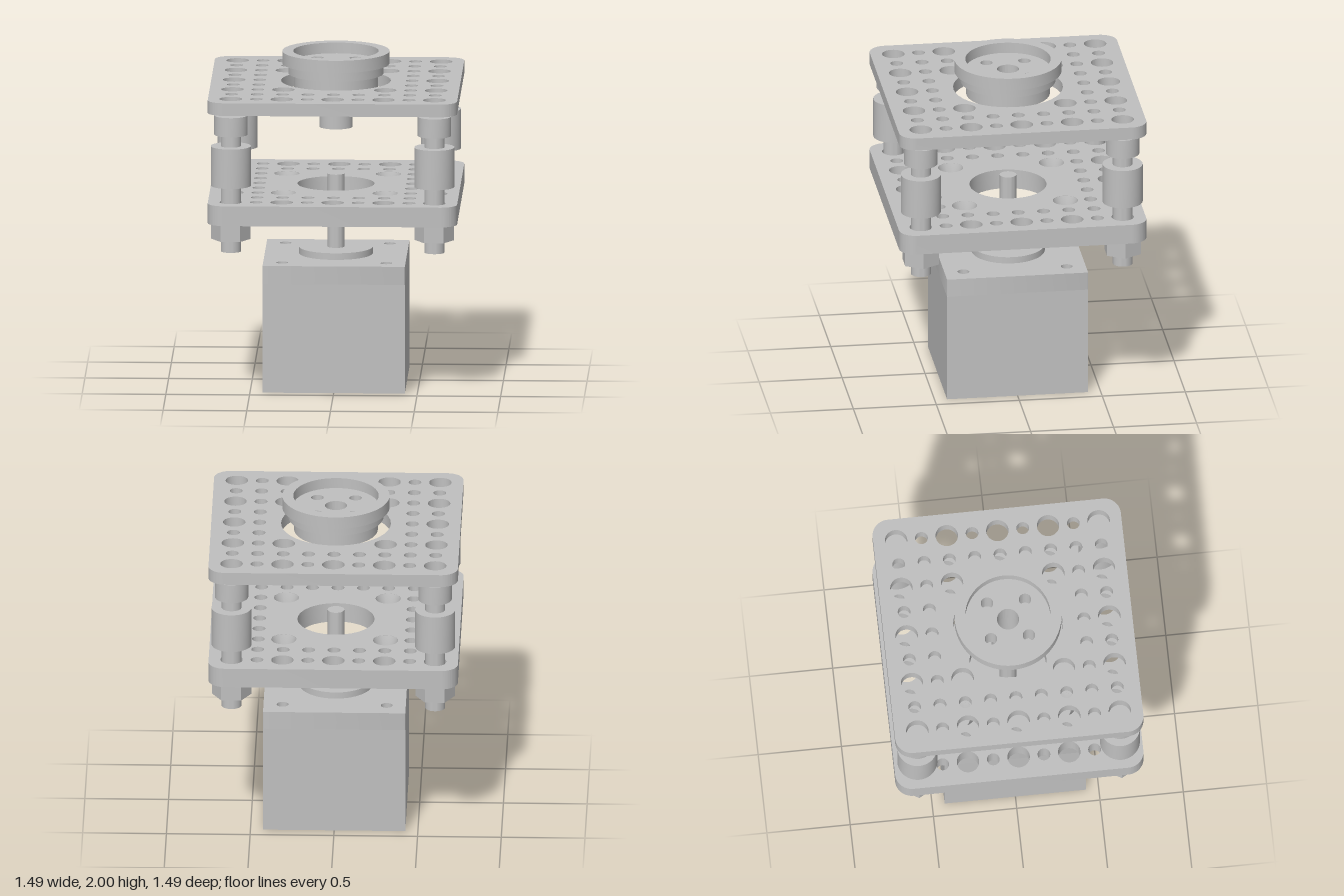
import * as THREE from 'three';
import { toCreasedNormals } from 'three/addons/utils/BufferGeometryUtils.js';

const PITCH = 0.152;
const PLATE = 0.745;
const POST = 4 * PITCH;
const SCREW = 0.311;
const corners = (d) => [[-d, -d], [d, -d], [d, d], [-d, d]];

const steel = new THREE.MeshStandardMaterial({ color: 0xc0c0c0 });
steel.name = 'steel grey';

function mesh(name, geometry, smooth = true) {
  const m = new THREE.Mesh(smooth ? toCreasedNormals(geometry, 0.6) : geometry, steel);
  m.name = name;
  return m;
}

// Upright cylinder between two heights
function rod(name, r, y0, y1, sides = 40) {
  const g = new THREE.CylinderGeometry(r, r, y1 - y0, sides);
  g.translate(0, (y0 + y1) / 2, 0);
  return mesh(name, g);
}

// Closed ring turned from a profile: outside listed upwards, inside downwards
function turned(name, profile, sides = 64) {
  const pts = profile.map(([x, y]) => new THREE.Vector2(x, y));
  pts.push(pts[0].clone());
  return mesh(name, new THREE.LatheGeometry(pts, sides));
}

// Rounded square slab with round holes [x, z, radius]
function slab(name, half, radius, y0, y1, holes) {
  const s = new THREE.Shape();
  const k = half - radius;
  s.absarc(k, k, radius, 0, Math.PI / 2);
  s.absarc(-k, k, radius, Math.PI / 2, Math.PI);
  s.absarc(-k, -k, radius, Math.PI, Math.PI * 1.5);
  s.absarc(k, -k, radius, Math.PI * 1.5, Math.PI * 2);
  s.closePath();
  for (const [x, z, r] of holes) {
    const h = new THREE.Path();
    h.absarc(x, -z, r, 0, Math.PI * 2, true);
    s.holes.push(h);
  }
  const g = new THREE.ExtrudeGeometry(s, { depth: y1 - y0, bevelEnabled: false, curveSegments: 20 });
  g.rotateX(-Math.PI / 2);
  g.translate(0, y0, 0);
  return mesh(name, g);
}

// Perforation grid: big holes where both indices are even, small ones elsewhere
function perforations(centreRadius, innerRadius) {
  const holes = [[0, 0, centreRadius]];
  for (let i = -4; i <= 4; i++) {
    for (let j = -4; j <= 4; j++) {
      if (Math.max(Math.abs(i), Math.abs(j)) < 3) continue;
      const big = i % 2 === 0 && j % 2 === 0;
      holes.push([i * PITCH, j * PITCH, big ? 0.067 : 0.038]);
    }
  }
  for (const [x, z] of corners(2 * PITCH)) holes.push([x, z, innerRadius]);
  return holes;
}

// Corner bolt with its head, spacer sleeve and hex nut
function cornerPost(x, z) {
  const g = new THREE.Group();
  g.name = 'cornerPost';
  const nut = new THREE.CylinderGeometry(0.118, 0.118, 0.1, 6);
  nut.rotateY(Math.PI / 6);
  nut.translate(0, 1.02, 0);
  g.add(
    rod('boltShank', 0.06, 0.895, 1.65),
    rod('boltHead', 0.1, 1.605, 1.722),
    rod('spacer', 0.12, 1.295, 1.535),
    mesh('hexNut', nut),
  );
  g.position.set(x, 0, z);
  return g;
}

export function createModel() {
  const model = new THREE.Group();
  model.name = 'motorMount';

  // Motor: solid body with screw holes in its top, round boss and shaft
  const body = new THREE.BoxGeometry(0.85, 0.66, 0.85);
  body.translate(0, 0.33, 0);
  model.add(
    mesh('motorBody', body, false),
    slab('motorTop', 0.425, 0.004, 0.66, 0.77, corners(SCREW).map(([x, z]) => [x, z, 0.035])),
    rod('motorBoss', 0.22, 0.765, 0.81, 64),
    rod('motorShaft', 0.05, 0.8, 1.255),
  );

  // Perforated plates
  model.add(
    slab('lowerPlate', PLATE, 0.1, 1.073, 1.193, perforations(0.23, 0.075)),
    slab('upperPlate', PLATE, 0.1, 1.743, 1.82, perforations(0.328, 0.067)),
  );

  // Countersunk seats for the motor screws in the lower plate
  for (const [x, z] of corners(2 * PITCH)) {
    const seat = turned('countersink', [[0.04, 1.073], [0.075, 1.073], [0.075, 1.192], [0.04, 1.085]], 32);
    seat.position.set(x, 0, z);
    model.add(seat);
  }

  for (const [x, z] of corners(POST)) model.add(cornerPost(x, z));

  // Hub: stepped flange, drilled web and hollow stem
  const hub = new THREE.Group();
  hub.name = 'hub';
  const web = new THREE.Shape();
  web.absarc(0, 0, 0.25, 0, Math.PI * 2);
  for (const [x, z, r] of [[0, 0, 0.066], ...corners(0.114).map((c) => [...c, 0.037])]) {
    const h = new THREE.Path();
    h.absarc(x, z, r, 0, Math.PI * 2, true);
    web.holes.push(h);
  }
  const webGeo = new THREE.ExtrudeGeometry(web, { depth: 0.155, bevelEnabled: false, curveSegments: 32 });
  webGeo.rotateX(-Math.PI / 2);
  webGeo.translate(0, 1.78, 0);
  hub.add(
    mesh('hubWeb', webGeo),
    turned('hubFlange', [
      [0.249, 1.865], [0.285, 1.865], [0.285, 1.925], [0.32, 1.925],
      [0.32, 2], [0.255, 2], [0.255, 1.935], [0.249, 1.935],
    ]),
    turned('hubStem', [[0.066, 1.54], [0.1, 1.54], [0.1, 1.785], [0.066, 1.785]], 40),
  );
  model.add(hub);

  return model;
}
